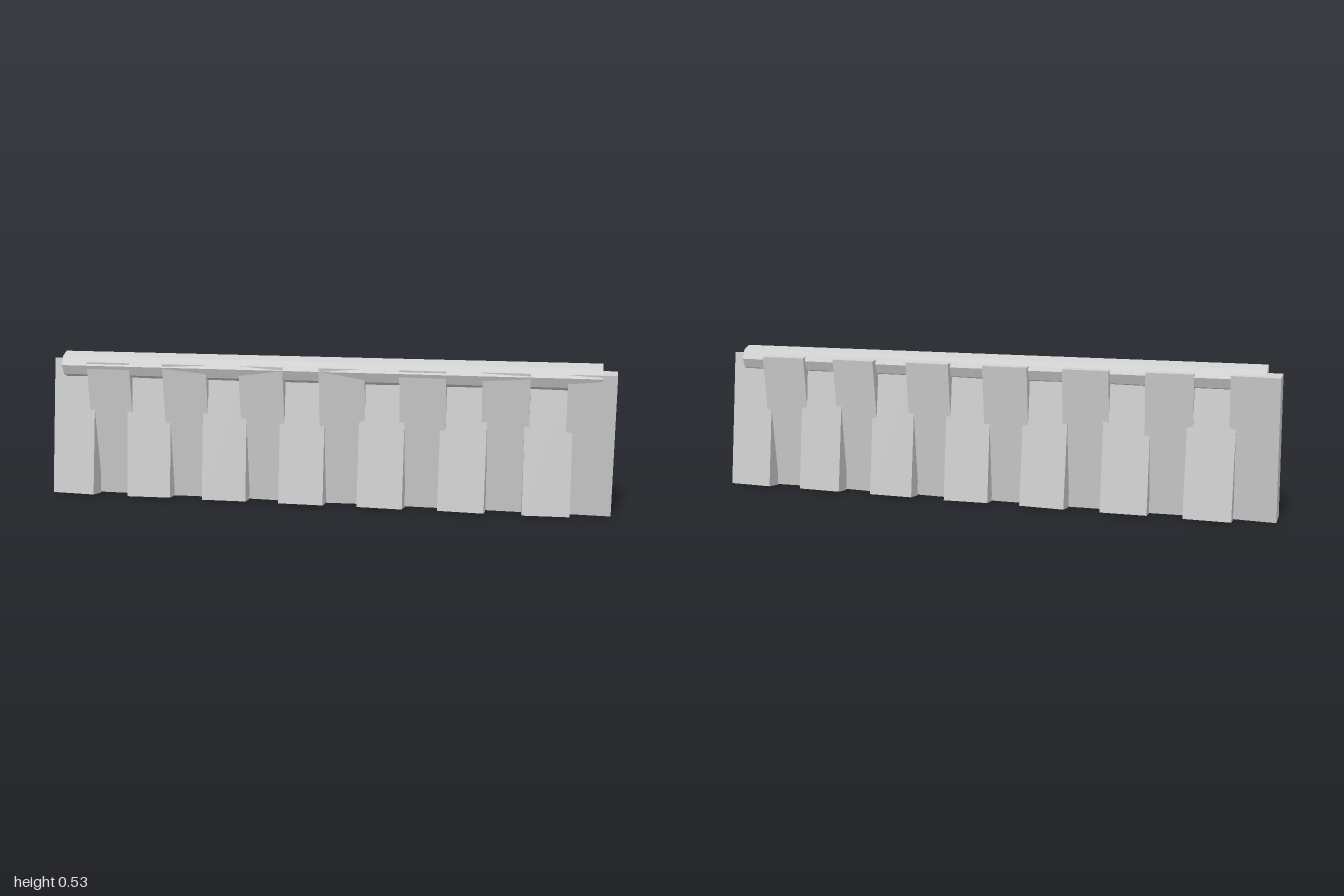
import * as THREE from 'three';

export function createModel() {
  const group = new THREE.Group();
  const grey = new THREE.MeshStandardMaterial({ color: 0xcccccc });
  grey.name = 'light grey';
  grey.flatShading = true;

  // Boards: alternately leaning back and forward, each slightly turned
  const turns = [-0.06, 0, 0.05, 0.03, 0.03, -0.04, 0, 0.05, -0.03, 0, -0.05, -0.02, 0.05, -0.03];
  const lean = THREE.MathUtils.degToRad(7);
  const boardGeometry = new THREE.BoxGeometry(0.16, 0.496, 0.062);
  turns.forEach((turn, i) => {
    const side = i % 2 === 0 ? 1 : -1; // 1: foot in front, -1: foot behind
    const board = new THREE.Mesh(boardGeometry, grey);
    board.name = side > 0 ? 'frontBoard' : 'backBoard';
    board.position.set(-0.919 + i * (1.838 / 13), 0.25, 0.006 * side);
    board.rotation.set(-lean * side, turn, 0, 'YXZ');
    group.add(board);
  });

  // Eight-sided rail resting in the crossing at the top
  const railGeometry = new THREE.CylinderGeometry(0.047, 0.047, 1.9, 8);
  railGeometry.rotateZ(Math.PI / 2);
  const rail = new THREE.Mesh(railGeometry, grey);
  rail.name = 'topRail';
  rail.position.set(0, 0.48, 0.01);
  group.add(rail);

  return group;
}
